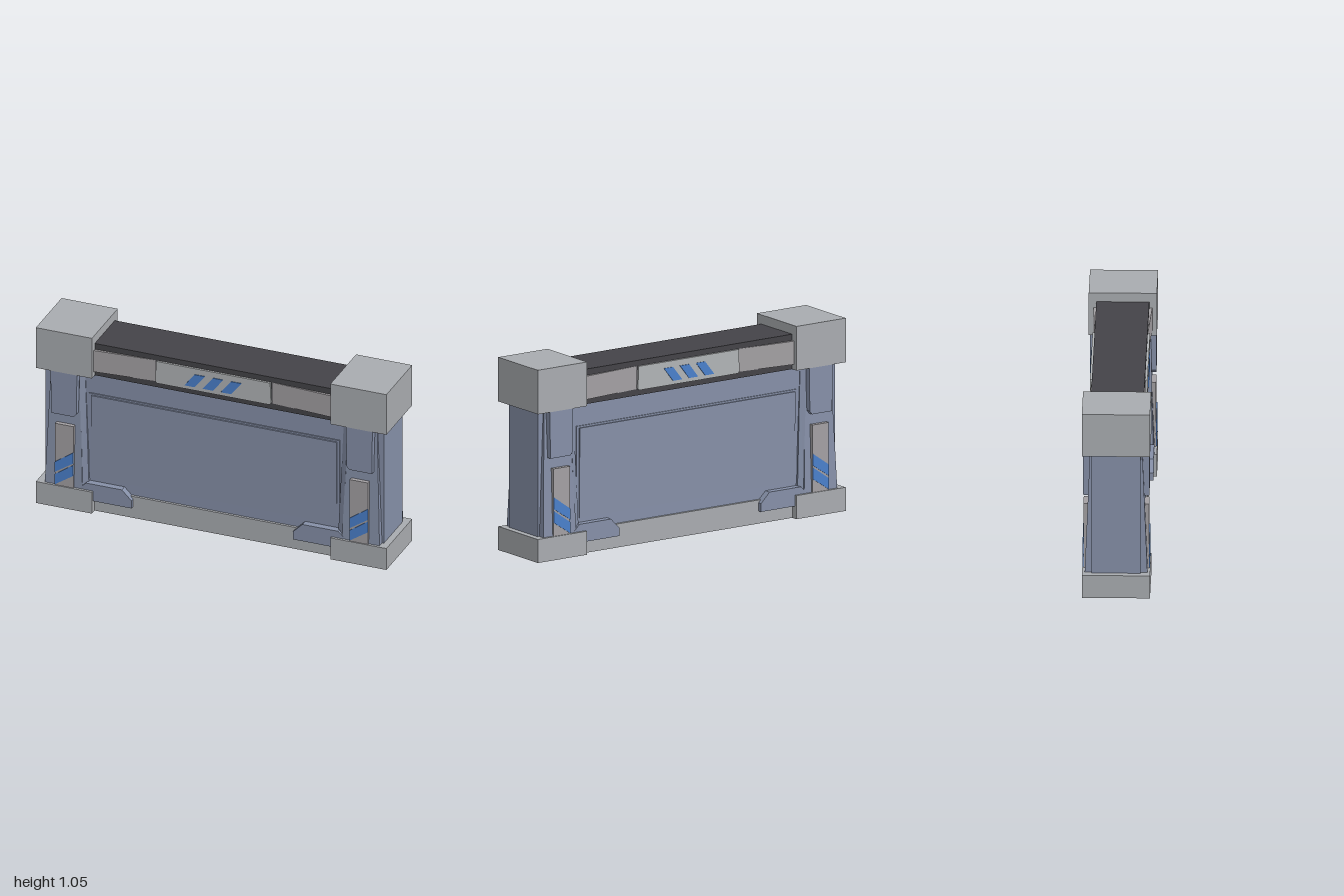
import * as THREE from 'three';

const paint = (name, color) => {
  const m = new THREE.MeshStandardMaterial({ color });
  m.name = name;
  return m;
};

export function createModel() {
  const model = new THREE.Group();
  model.name = 'barrierWall';
  const lightGrey = paint('lightGrey', 0xa9acb0);
  const paleGrey = paint('paleGrey', 0xb1b4b6);
  const warmGrey = paint('warmGrey', 0xa3a0a3);
  const steelBlue = paint('steelBlue', 0x8690a8);
  const charcoal = paint('charcoal', 0x444348);
  const blue = paint('blue', 0x4a80cc);

  const add = (name, geometry, material) => {
    const mesh = new THREE.Mesh(geometry, material);
    mesh.name = name;
    model.add(mesh);
    return mesh;
  };

  // Box given by its limits in x and y and its half depth
  const box = (name, x0, x1, y0, y1, halfZ, material) =>
    add(name, new THREE.BoxGeometry(Math.abs(x1 - x0), y1 - y0, halfZ * 2), material)
      .position.set((x0 + x1) / 2, (y0 + y1) / 2, 0);

  // Outline raised from depth z0 to depth zFront(x, y), on the front and on the back
  const plate = (name, points, z0, zFront, material) => {
    const depthAt = typeof zFront === 'function' ? zFront : () => zFront;
    for (const side of [1, -1]) {
      const shape = new THREE.Shape(points.map(([x, y]) => new THREE.Vector2(x, y)));
      const geo = new THREE.ExtrudeGeometry(shape, { depth: 1, bevelEnabled: false });
      const p = geo.attributes.position;
      for (let i = 0; i < p.count; i++) {
        p.setZ(i, side * (p.getZ(i) > 0.5 ? depthAt(p.getX(i), p.getY(i)) : z0));
      }
      if (side < 0) {
        // Mirrored faces need their corners in reverse order
        const a = new THREE.Vector3(), b = new THREE.Vector3();
        for (let i = 0; i < p.count; i += 3) {
          a.fromBufferAttribute(p, i + 1);
          b.fromBufferAttribute(p, i + 2);
          p.setXYZ(i + 1, b.x, b.y, b.z);
          p.setXYZ(i + 2, a.x, a.y, a.z);
        }
      }
      geo.computeVertexNormals();
      add(name + (side > 0 ? 'Front' : 'Back'), geo, material);
    }
  };
  const rect = (x0, x1, y0, y1) => [[x0, y0], [x1, y0], [x1, y1], [x0, y1]];

  // Base rail, wall and top beam
  box('baseRail', -0.7, 0.7, 0.002, 0.13, 0.142, lightGrey);
  box('wall', -0.74, 0.74, 0.12, 0.82, 0.128, steelBlue);
  box('topBeam', -0.69, 0.69, 0.81, 1.0, 0.14, charcoal);

  // Raised wall panel with a bevelled border
  plate('panelBorder', rect(-0.715, 0.715, 0.185, 0.695), 0.12, 0.134, steelBlue);
  plate('panel', rect(-0.7, 0.7, 0.195, 0.685), 0.12, (x, y) => (y > 0.5 ? 0.142 : 0.138), steelBlue);

  // Beam cover and its slanted marks
  plate('beamCover', [[-0.33, 0.85], [-0.32, 0.84], [0.32, 0.84], [0.33, 0.85],
    [0.325, 0.97], [-0.325, 0.97]], 0.13, 0.152, paleGrey);
  for (let i = 0; i < 3; i++) {
    const x = -0.104 + i * 0.104;
    plate('beamMark' + (i + 1), [[x - 0.059, 0.861], [x, 0.861], [x + 0.059, 0.936], [x, 0.936]],
      0.15, 0.156, blue);
  }

  for (const s of [-1, 1]) {
    const label = s > 0 ? 'left' : 'right';
    const flip = (points) => points.map(([x, y]) => [x * s, y]);

    // Foot, cap and post core
    box(label + 'Foot', s * 0.68, s, 0.002, 0.13, 0.18, lightGrey);
    box(label + 'Cap', s * 0.68, s, 0.81, 1.05, 0.18, lightGrey);
    box(label + 'PostCore', s * 0.72, s * 0.965, 0, 0.82, 0.13, steelBlue);

    // Post face, leaning back towards the top
    plate(label + 'PostFace', flip([[0.74, 0.12], [0.955, 0.12], [0.93, 0.82], [0.765, 0.82]]), 0.12,
      (x, y) => 0.166 - (y - 0.12) * 0.04, steelBlue);
    // Slanted inner trim of the post
    plate(label + 'PostTrim', flip([[0.71, 0.12], [0.742, 0.12], [0.767, 0.82], [0.738, 0.82]]), 0.12,
      (x, y) => (Math.abs(x) < 0.74 ? 0.146 : 0.16) - (y - 0.12) * 0.02, steelBlue);

    // Upper post block and lower post plate
    plate(label + 'PostBlock', flip([[0.785, 0.556], [0.915, 0.556], [0.918, 0.82], [0.768, 0.82],
      [0.77, 0.575]]), 0.135, 0.175, steelBlue);
    plate(label + 'PostPlate', flip(rect(0.788, 0.893, 0.12, 0.497)), 0.135, 0.174, warmGrey);

    // Two rising stripes on each plate
    const x0 = s > 0 ? 0.788 : -0.893;
    const x1 = x0 + 0.105;
    [0.134, 0.208].forEach((y, i) => plate(label + 'PostStripe' + (i + 1),
      [[x0, y], [x1, y + 0.07], [x1, y + 0.134], [x0, y + 0.06]], 0.172, 0.178, blue));

    // Chamfered bracket over the base rail
    plate(label + 'Bracket', flip([[0.76, 0.07], [0.46, 0.07], [0.46, 0.115], [0.515, 0.17], [0.72, 0.17],
      [0.76, 0.13]]), 0.12, 0.166, steelBlue);

    // Beam side cover, swelling towards the cap
    plate(label + 'BeamSideCover', flip([[0.333, 0.845], [0.69, 0.838], [0.69, 0.965], [0.333, 0.97]]), 0.13,
      (x) => (Math.abs(x) > 0.5 ? 0.156 : 0.141), warmGrey);
  }
  return model;
}
